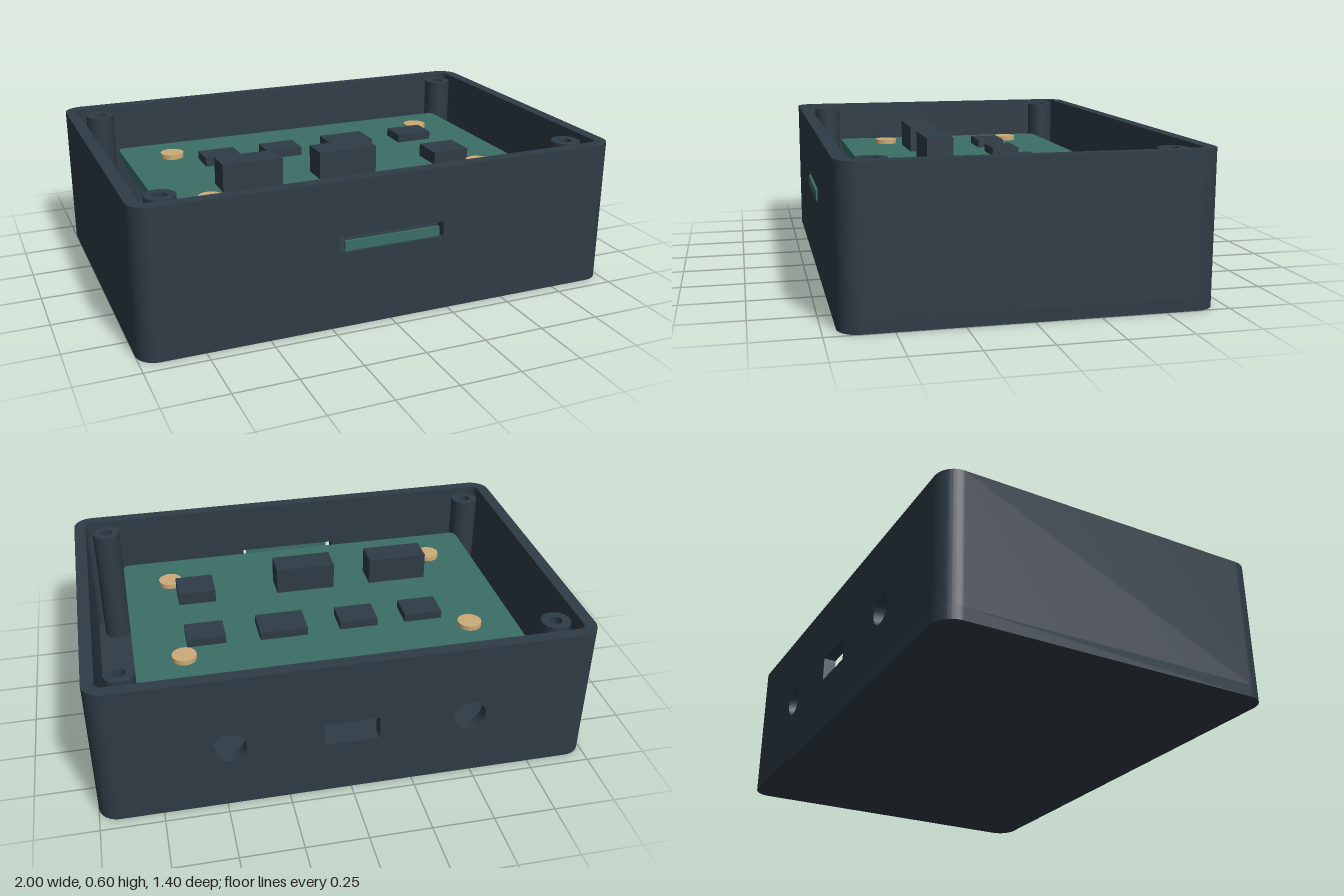
import * as THREE from 'three';
import { toCreasedNormals } from 'three/addons/utils/BufferGeometryUtils.js';

const W = 1, D = 0.7, H = 0.6, WALL = 0.05, R = 0.08, FLOOR = 0.05;
const BOARD_TOP = 0.44, BOARD_BOTTOM = 0.40;

const mat = (name, color) => {
  const m = new THREE.MeshStandardMaterial({ color });
  m.name = name;
  return m;
};

const extrude = (shape, depth) =>
  toCreasedNormals(new THREE.ExtrudeGeometry(shape, { depth, bevelEnabled: false, curveSegments: 10 }), 0.6);

// Rectangle from its limits, usable as an outline or a hole
function rect(x0, x1, y0, y1, Type = THREE.Shape) {
  const s = new Type();
  s.moveTo(x0, y0);
  s.lineTo(x1, y0);
  s.lineTo(x1, y1);
  s.lineTo(x0, y1);
  s.closePath();
  return s;
}

function roundedRect(hx, hy, r) {
  const s = new THREE.Shape();
  s.absarc(hx - r, hy - r, r, 0, Math.PI / 2);
  s.absarc(r - hx, hy - r, r, Math.PI / 2, Math.PI);
  s.absarc(r - hx, r - hy, r, Math.PI, Math.PI * 1.5);
  s.absarc(hx - r, r - hy, r, Math.PI * 1.5, Math.PI * 2);
  s.closePath();
  return s;
}

export function createModel() {
  const model = new THREE.Group();
  model.name = 'electronicsEnclosure';
  const slate = mat('slatePlastic', 0x2e3b46);
  const green = mat('boardGreen', 0x3b6e67);
  const brass = mat('brass', 0xcbab78);

  const add = (name, geometry, material, x = 0, y = 0, z = 0) => {
    const mesh = new THREE.Mesh(geometry, material);
    mesh.name = name;
    mesh.position.set(x, y, z);
    model.add(mesh);
    return mesh;
  };

  // Floor with rounded corners
  add('floor', extrude(roundedRect(W, D, R), FLOOR).rotateX(-Math.PI / 2), slate);

  // End walls, each carrying two rounded corners
  const cx = W - R, cz = D - R, ri = R - WALL;
  const end = new THREE.Shape();
  end.moveTo(cx, -D);
  end.absarc(cx, -cz, R, -Math.PI / 2, 0);
  end.absarc(cx, cz, R, 0, Math.PI / 2);
  end.lineTo(cx, D - WALL);
  end.absarc(cx, cz, ri, Math.PI / 2, 0, true);
  end.absarc(cx, -cz, ri, 0, -Math.PI / 2, true);
  end.closePath();
  const endGeo = extrude(end, H - FLOOR).rotateX(-Math.PI / 2);
  add('leftWall', endGeo, slate, 0, FLOOR);
  add('rightWall', endGeo, slate, 0, FLOOR).rotation.y = Math.PI;

  // Front wall with a slot
  const front = rect(-cx, cx, FLOOR, H);
  front.holes.push(rect(-0.22, 0.22, 0.31, 0.375, THREE.Path));
  add('frontWall', extrude(front, WALL), slate, 0, 0, D - WALL);

  // Back wall with a socket opening and two round openings
  const back = rect(-cx, cx, FLOOR, H);
  back.holes.push(rect(-0.11, 0.11, 0.23, 0.33, THREE.Path));
  for (const x of [-0.48, 0.48]) {
    const hole = new THREE.Path();
    hole.absarc(x, 0.28, 0.065, 0, Math.PI * 2);
    back.holes.push(hole);
  }
  add('backWall', extrude(back, WALL), slate, 0, 0, -D);

  // Strip in the front slot
  add('slotStrip', new THREE.BoxGeometry(0.4, 0.04, 0.01), green, 0, 0.34, D);

  // Circuit board
  add('circuitBoard', extrude(roundedRect(0.8, 0.5, 0.03), BOARD_TOP - BOARD_BOTTOM).rotateX(-Math.PI / 2),
    green, 0, BOARD_BOTTOM);

  // Hollow screw posts in the corners, and board supports with brass heads
  const post = new THREE.Shape();
  post.absarc(0, 0, 0.06, 0, Math.PI * 2);
  const bore = new THREE.Path();
  bore.absarc(0, 0, 0.026, 0, Math.PI * 2);
  post.holes.push(bore);
  const postGeo = extrude(post, 0.59 - FLOOR).rotateX(-Math.PI / 2);
  const supportGeo = new THREE.CylinderGeometry(0.05, 0.05, BOARD_BOTTOM - FLOOR, 24);
  const headGeo = new THREE.CylinderGeometry(0.05, 0.05, 0.02, 24);
  for (const sx of [-1, 1]) {
    for (const sz of [-1, 1]) {
      add('screwPost', postGeo, slate, sx * 0.86, FLOOR, sz * 0.56);
      add('boardSupport', supportGeo, slate, sx * 0.6, (FLOOR + BOARD_BOTTOM) / 2, sz * 0.3);
      add('screwHead', headGeo, brass, sx * 0.6, BOARD_TOP + 0.01, sz * 0.3);
    }
  }

  // Chips: centre x, centre z, width, depth, height
  const chips = [
    [-0.42, -0.165, 0.16, 0.12, 0.035],
    [-0.14, -0.165, 0.16, 0.12, 0.035],
    [0.18, -0.165, 0.2, 0.14, 0.035],
    [0.5, -0.165, 0.16, 0.12, 0.035],
    [-0.4, 0.175, 0.255, 0.115, 0.115],
    [0.018, 0.175, 0.255, 0.115, 0.115],
    [0.5, 0.175, 0.16, 0.14, 0.055],
  ];
  for (const [x, z, w, d, h] of chips) {
    add('chip', new THREE.BoxGeometry(w, h, d), slate, x, BOARD_TOP + h / 2, z);
  }

  model.position.z = -0.0025;
  return model;
}
